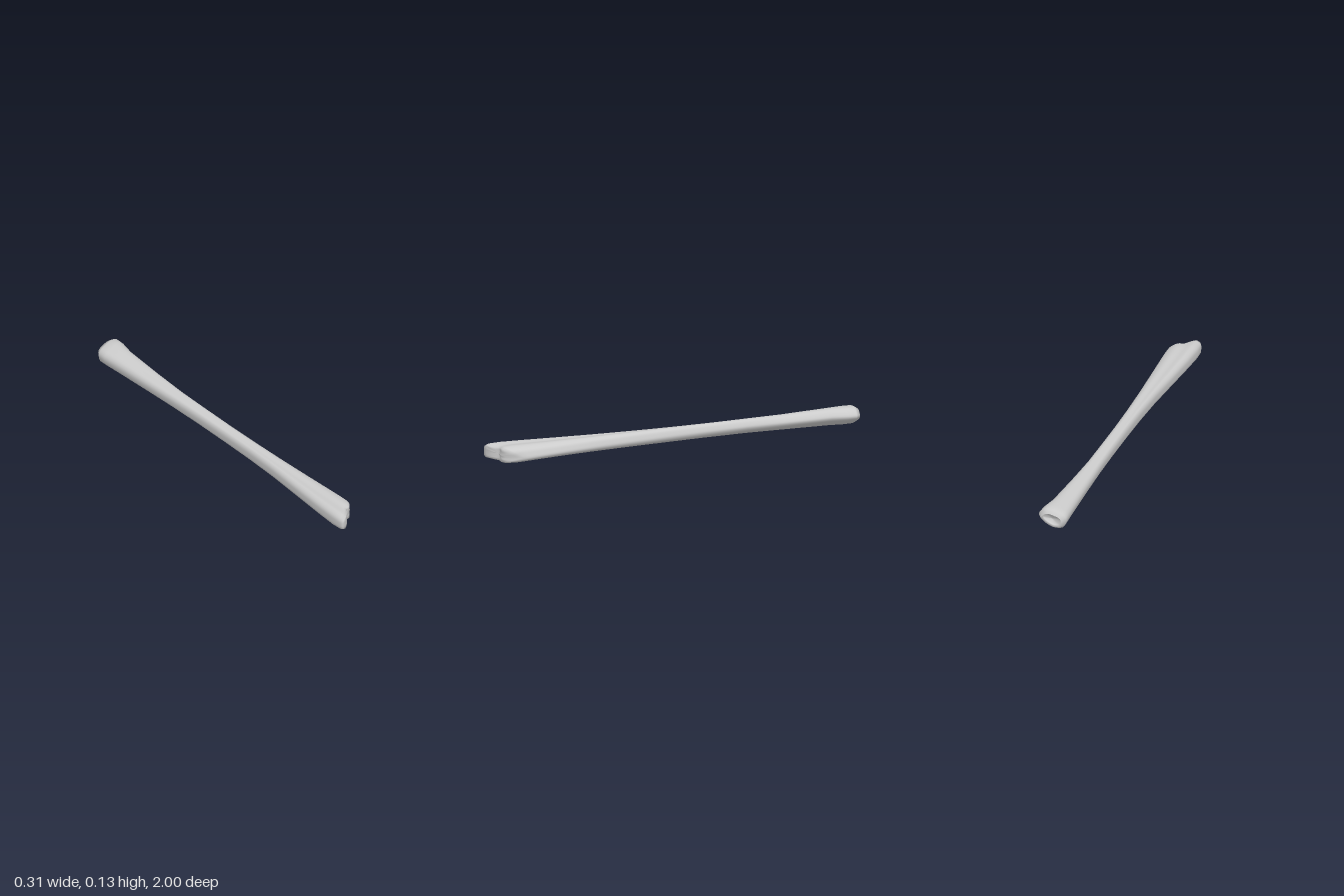
import * as THREE from 'three';

// Cross-section outlines in a unit box, counterclockwise seen from the front
const backOutline = [[1, .62], [.93, .82], [.78, .98], [.55, 1], [.3, .9], [.1, .78],
  [0, .58], [.02, .3], [.12, .07], [.35, 0], [.6, .12], [.85, .36]];
const frontOutline = [[1, .35], [.97, .6], [.88, .86], [.65, 1], [.42, .95], [.17, .98],
  [.03, .8], [0, .5], [.06, .09], [.35, .08], [.6, 0], [.87, .12]];

// Shaft stations: z, xMin, xMax, yMin, yMax, inset towards the centre
const stations = [
  [-.975, .01, .15, .03, .125, 0],
  [-.985, .01, .15, .03, .125, .35],
  [-1, .012, .15, .032, .125, .2],
  [-.975, .005, .155, .025, .132, 0],
  [-.93, .003, .15, .023, .133, 0],
  [-.85, .003, .126, .024, .129, 0],
  [-.6, -.004, .092, .025, .117, 0],
  [-.4, -.011, .066, .025, .112, 0],
  [-.2, -.022, .05, .023, .108, 0],
  [0, -.036, .036, .02, .104, 0],
  [.2, -.053, .026, .017, .101, 0],
  [.4, -.076, .02, .014, .098, 0],
  [.6, -.106, .018, .01, .095, 0],
  [.8, -.135, .017, .004, .094, 0],
  [.92, -.15, .016, 0, .094, 0],
  [.98, -.155, .016, .002, .092, .02],
  [1, -.154, .014, .006, .088, .08],
  [1, -.15, .01, .01, .085, .35],
  [1, -.15, .01, .01, .085, .7],
  [1, -.15, .01, .01, .085, 1],
];
stations[0][5] = 1; // closes the back end at a shallow dimple

// Slanted, grooved front end: x against the z it reaches
const endSlope = [[-.155, 1], [-.12, .995], [-.09, .972], [-.065, .938], [-.04, .938], [-.015, .918], [0, .895], [.016, .83]];

function endZ(x) {
  if (x <= endSlope[0][0]) return endSlope[0][1];
  for (let i = 1; i < endSlope.length; i++) {
    const [x0, z0] = endSlope[i - 1], [x1, z1] = endSlope[i];
    if (x <= x1) return THREE.MathUtils.lerp(z0, z1, (x - x0) / (x1 - x0));
  }
  return endSlope.at(-1)[1];
}

function smoothOutline(points, count) {
  const curve = new THREE.CatmullRomCurve3(points.map(([u, v]) => new THREE.Vector3(u, v, 0)), true);
  return Array.from({ length: count }, (_, i) => curve.getPoint(i / count));
}

function boneGeometry() {
  const sides = 36, positions = [], index = [];
  const back = smoothOutline(backOutline, sides), front = smoothOutline(frontOutline, sides);
  for (const [z, x0, x1, y0, y1, inset] of stations) {
    const blend = THREE.MathUtils.smoothstep(z, -.9, .9);
    for (let j = 0; j < sides; j++) {
      const p = back[j].clone().lerp(front[j], blend);
      p.lerp(new THREE.Vector3(.5, .5, 0), inset);
      const x = THREE.MathUtils.lerp(x0, x1, p.x);
      const y = THREE.MathUtils.lerp(y0, y1, p.y);
      const zz = z > .7 ? .7 + (z - .7) / .3 * (endZ(x) - .7) : z;
      positions.push(x, y, zz);
    }
  }
  for (let i = 0; i < stations.length - 1; i++) {
    for (let j = 0; j < sides; j++) {
      const k = (j + 1) % sides;
      const a = i * sides + j, b = i * sides + k, c = b + sides, d = a + sides;
      index.push(a, b, d, b, c, d);
    }
  }
  const geometry = new THREE.BufferGeometry();
  geometry.setAttribute('position', new THREE.Float32BufferAttribute(positions, 3));
  geometry.setIndex(index);
  geometry.computeVertexNormals();
  return geometry;
}

export function createModel() {
  const group = new THREE.Group();
  group.name = 'longBone';
  // Twisting shaft with a flared back head and a slanted front end
  const bone = new THREE.Mesh(boneGeometry(), new THREE.MeshStandardMaterial({ color: 0xcccccc }));
  bone.name = 'boneShaft';
  group.add(bone);
  return group;
}
